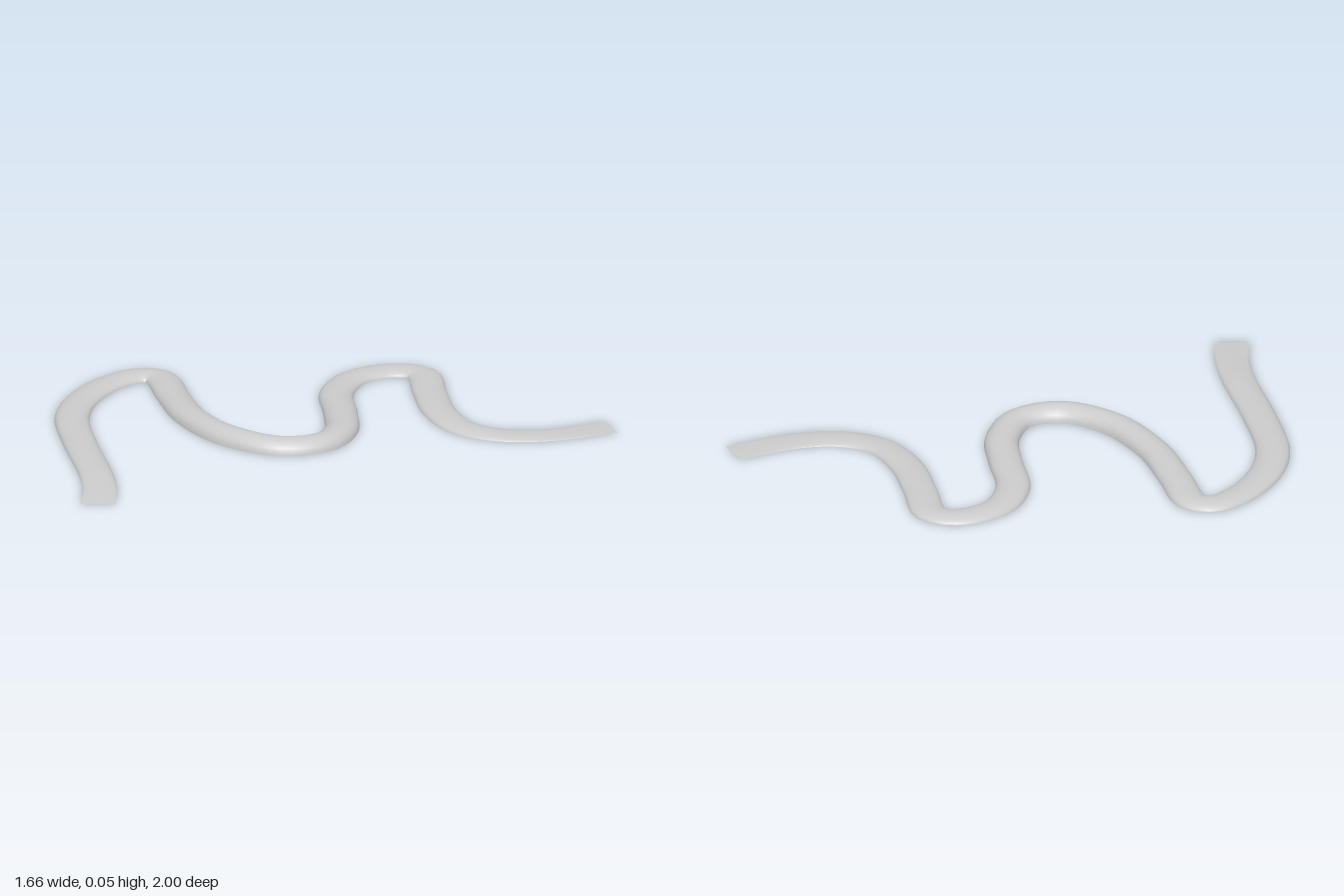
import * as THREE from 'three';

const HALF_WIDTH = 0.0625;
const STEPS = 160;
const ARC = 12;

// Centre line: x, crown height, z
const PATH = [
  [0.765, 0, -0.985], [0.68, 0.008, -0.755], [0.57, 0.014, -0.625], [0.43, 0.02, -0.573],
  [0.24, 0.024, -0.625], [0.06, 0.024, -0.735], [-0.115, 0.022, -0.843], [-0.2, 0.022, -0.79],
  [-0.235, 0.024, -0.64], [-0.155, 0.029, -0.48], [0.02, 0.036, -0.345], [0.165, 0.042, -0.22],
  [0.235, 0.047, -0.07], [0.17, 0.051, 0.075], [-0.035, 0.053, 0.14], [-0.29, 0.045, 0.095],
  [-0.5, 0.034, -0.005], [-0.7, 0.026, -0.105], [-0.755, 0.025, -0.07], [-0.77, 0.024, 0.04],
  [-0.71, 0.025, 0.235], [-0.585, 0.027, 0.405], [-0.345, 0.026, 0.575], [-0.08, 0.022, 0.735],
  [0.06, 0.012, 0.835], [0.18, 0, 0.95],
];

// Sweep a half-ellipse with a flat underside along the winding centre line
function ribbonGeometry() {
  const curve = new THREE.CatmullRomCurve3(PATH.map(p => new THREE.Vector3(...p)), false, 'centripetal');
  curve.arcLengthDivisions = 1000;
  const positions = [], index = [];
  const row = ARC + 3; // dome points plus two separate underside points

  for (let i = 0; i <= STEPS; i++) {
    const p = curve.getPointAt(i / STEPS);
    const t = curve.getTangentAt(i / STEPS).setY(0).normalize();
    const height = Math.max(0, p.y);
    const add = (offset, y) => positions.push(p.x - t.z * offset, y, p.z + t.x * offset);
    for (let j = 0; j <= ARC; j++) {
      const a = Math.PI * j / ARC;
      add(HALF_WIDTH * Math.cos(a), height * Math.sin(a));
    }
    add(HALF_WIDTH, 0);
    add(-HALF_WIDTH, 0);
  }

  for (let i = 0; i < STEPS; i++) {
    const a = i * row, b = a + row;
    for (let j = 0; j < ARC; j++) {
      index.push(a + j, b + j, a + j + 1, b + j, b + j + 1, a + j + 1);
    }
    const l = ARC + 1, r = ARC + 2; // underside
    index.push(a + l, a + r, b + l, a + r, b + r, b + l);
  }

  const geometry = new THREE.BufferGeometry();
  geometry.setAttribute('position', new THREE.Float32BufferAttribute(positions, 3));
  geometry.setIndex(index);
  geometry.computeVertexNormals();
  return geometry;
}

export function createModel() {
  const group = new THREE.Group();
  const material = new THREE.MeshStandardMaterial({ color: 0xcccccc });
  const ribbon = new THREE.Mesh(ribbonGeometry(), material);
  ribbon.name = 'windingRibbon';
  group.add(ribbon);
  return group;
}
